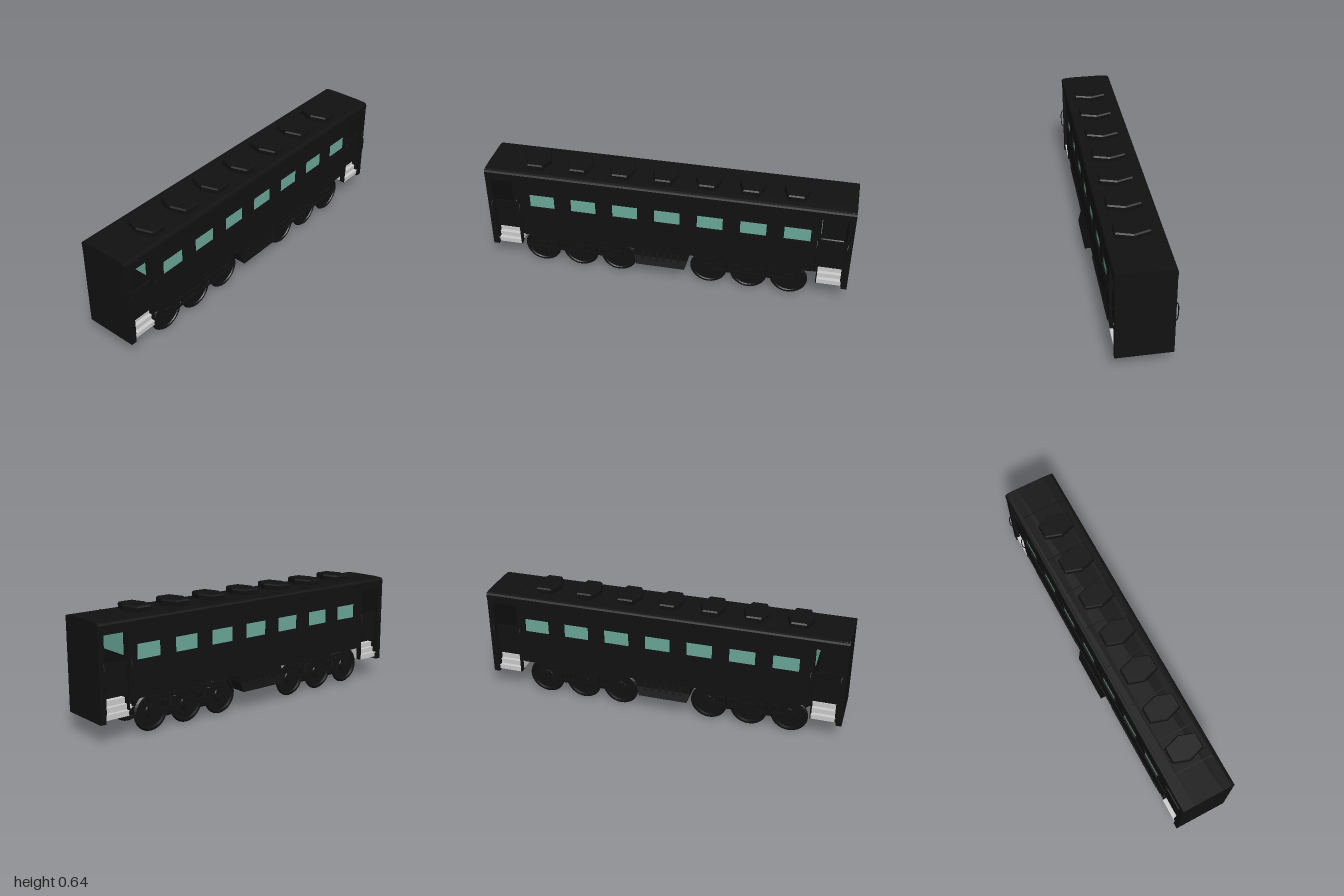
import * as THREE from 'three';

const mat = (color, side = THREE.FrontSide) => new THREE.MeshStandardMaterial({ color, side, flatShading: true });
const black = mat(0x111111);
const glass = mat(0x6aa898);
const grey = mat(0xcccccc);

function add(parent, name, geometry, material = black, x = 0, y = 0, z = 0) {
  const mesh = new THREE.Mesh(geometry, material);
  mesh.name = name;
  mesh.position.set(x, y, z);
  parent.add(mesh);
  return mesh;
}

// Box given by its limits on each axis
function box(parent, name, x0, x1, y0, y1, z0, z1, material = black) {
  return add(parent, name, new THREE.BoxGeometry(x1 - x0, y1 - y0, z1 - z0), material,
    (x0 + x1) / 2, (y0 + y1) / 2, (z0 + z1) / 2);
}

function shapeOf(points) {
  return new THREE.Shape(points.map(([a, b]) => new THREE.Vector2(a, b)));
}

function rectPath(x0, x1, y0, y1) {
  return new THREE.Path([[x0, y0], [x0, y1], [x1, y1], [x1, y0]].map(([a, b]) => new THREE.Vector2(a, b)));
}

// Cross-section in (z, y), swept along x from x0 to x1
function sweepX(parent, name, shape, x0, x1, material = black) {
  const g = new THREE.ExtrudeGeometry(shape, { depth: x1 - x0, bevelEnabled: false });
  g.rotateY(Math.PI / 2);
  return add(parent, name, g, material, x0);
}

function buildBody(car) {
  const windows = Array.from({ length: 7 }, (_, i) => -0.685 + i * 0.2325);

  // Side walls with window openings, glass and thin frames
  for (const s of [-1, 1]) {
    const wall = shapeOf([[-0.83, 0.2], [0.83, 0.2], [0.83, 0.59], [-0.83, 0.59]]);
    windows.forEach(x => wall.holes.push(rectPath(x - 0.075, x + 0.075, 0.387, 0.48)));
    const g = new THREE.ExtrudeGeometry(wall, { depth: 0.016, bevelEnabled: false });
    add(car, 'sideWall', g, black, 0, 0, s > 0 ? 0.129 : -0.145);
    windows.forEach(x => {
      add(car, 'windowPane', new THREE.BoxGeometry(0.14, 0.08, 0.006), glass, x, 0.435, s * 0.137);
      const frame = shapeOf([[-0.08, -0.052], [0.08, -0.052], [0.08, 0.052], [-0.08, 0.052]]);
      frame.holes.push(rectPath(-0.07, 0.07, -0.04, 0.04));
      const fg = new THREE.ExtrudeGeometry(frame, { depth: 0.011, bevelEnabled: false });
      add(car, 'windowFrame', fg, black, x, 0.435, s > 0 ? 0.136 : -0.147);
    });
    add(car, 'beltRail', new THREE.BoxGeometry(1.66, 0.006, 0.006), black, 0, 0.378, s * 0.145);
    add(car, 'sill', new THREE.BoxGeometry(1.6, 0.014, 0.01), black, 0, 0.207, s * 0.143);
  }
  box(car, 'floor', -0.83, 0.83, 0.2, 0.225, -0.13, 0.13);

  // Roof with rounded shoulders
  const roof = shapeOf([[-0.148, 0.57], [0.148, 0.57], [0.148, 0.592], [0.143, 0.602], [0.13, 0.606],
    [0.08, 0.609], [-0.08, 0.609], [-0.13, 0.606], [-0.143, 0.602], [-0.148, 0.592]]);
  sweepX(car, 'roof', roof, -1, 1);
  for (const x of [-0.82, -0.63, -0.4, -0.16, 0.08, 0.31, 0.53, 0.82])
    box(car, 'roofSeam', x - 0.003, x + 0.003, 0.606, 0.611, -0.12, 0.12);

  // Hexagonal roof vents with slats at both ends
  for (let i = 0; i < 7; i++) {
    const vent = new THREE.Group();
    vent.name = 'roofVent';
    vent.position.set(-0.725 + i * 0.235, 0.605, 0.0125);
    car.add(vent);
    const hex = shapeOf([[-0.07, 0], [-0.042, -0.0875], [0.042, -0.0875], [0.07, 0], [0.042, 0.0875], [-0.042, 0.0875]]);
    const g = new THREE.ExtrudeGeometry(hex, {
      depth: 0.028, bevelEnabled: true, bevelThickness: 0.008, bevelSize: 0.005, bevelOffset: -0.005, bevelSegments: 1,
    });
    g.rotateX(-Math.PI / 2);
    add(vent, 'ventCap', g);
    for (const s of [-1, 1]) for (const x of [-0.025, 0, 0.025])
      add(vent, 'ventSlat', new THREE.BoxGeometry(0.012, 0.02, 0.008), black, x, 0.015, s * 0.085);
  }
}

// One vestibule at the +x end
function buildVestibule() {
  const end = new THREE.Group();
  end.name = 'vestibule';

  // Outer end wall
  sweepX(end, 'endWall', shapeOf([[-0.146, 0.105], [0.146, 0.105], [0.146, 0.592], [0.135, 0.605],
    [-0.135, 0.605], [-0.146, 0.592]]), 0.968, 1);

  // Inner bulkhead with a pane
  box(end, 'bulkhead', 0.81, 0.83, 0.2, 0.59, -0.13, 0.13);
  box(end, 'bulkheadPane', 0.829, 0.833, 0.42, 0.53, -0.1, 0.1, glass);

  for (const s of [-1, 1]) {
    add(end, 'header', new THREE.BoxGeometry(0.14, 0.04, 0.016), black, 0.9, 0.565, s * 0.137);
    add(end, 'gate', new THREE.BoxGeometry(0.14, 0.175, 0.01), black, 0.9, 0.3135, s * 0.125);
    // Grab rails beside the opening
    for (const x of [0.817, 0.976]) {
      const path = new THREE.CatmullRomCurve3([[0.405, 0.143], [0.385, 0.156], [0.37, 0.161], [0.34, 0.162],
        [0.31, 0.161], [0.288, 0.156], [0.272, 0.143]].map(([y, z]) => new THREE.Vector3(x, y, s * z)));
      add(end, 'grabRail', new THREE.TubeGeometry(path, 16, 0.0028, 6), black);
    }
    // Side plates of the steps
    for (const x of [0.832, 0.964])
      add(end, 'stepPlate', new THREE.BoxGeometry(0.006, 0.11, 0.03), black, x, 0.175, s * 0.125);
  }

  // Grey steps rising inwards from both sides
  [0.14, 0.122, 0.104].forEach((z, i) => {
    const y = 0.12 + i * 0.029;
    box(end, 'step', 0.834, 0.965, y, y + 0.026, -z, z, grey);
    box(end, 'tread', 0.834, 0.965, y + 0.024, y + 0.029, -z - 0.003, z + 0.003, grey);
  });
  return end;
}

function buildTruck() {
  const truck = new THREE.Group();
  truck.name = 'truck';
  const axles = [-0.222, 0, 0.222];

  // Dished wheel profile, with a sharp flange on the inner part of the rim
  const profile = [[0, -0.006], [0.03, -0.006], [0.034, 0.001], [0.08, 0.001], [0.084, -0.011], [0.094, -0.011],
    [0.1025, -0.001], [0.094, 0.011], [0.084, 0.011], [0.08, 0.005], [0, 0.005]];
  const wheel = new THREE.LatheGeometry(profile.map(([r, y]) => new THREE.Vector2(r, y)), 32);
  wheel.rotateX(Math.PI / 2);

  for (const x of axles) {
    const axle = add(truck, 'axle', new THREE.CylinderGeometry(0.012, 0.012, 0.2, 16), grey, x, 0.085, 0);
    axle.rotation.x = Math.PI / 2;
    for (const s of [-1, 1]) {
      add(truck, 'wheel', wheel, black, x, 0.103, s * 0.105);
      add(truck, 'axleBox', new THREE.BoxGeometry(0.05, 0.05, 0.018), black, x, 0.115, s * 0.123);
    }
  }

  // Side frames, equalizer bars and springs
  for (const s of [-1, 1]) {
    add(truck, 'sideFrame', new THREE.BoxGeometry(0.5, 0.018, 0.018), black, 0, 0.178, s * 0.125);
    add(truck, 'equalizer', new THREE.BoxGeometry(0.52, 0.012, 0.012), black, 0, 0.112, s * 0.131);
    for (const x of [-0.11, 0.11]) {
      add(truck, 'spring', new THREE.CylinderGeometry(0.018, 0.018, 0.055, 10), black, x, 0.143, s * 0.122);
      add(truck, 'springSeat', new THREE.BoxGeometry(0.14, 0.01, 0.018), black, x, 0.155, s * 0.127);
    }
  }

  // Central gear housing, bevelled along its bottom edges
  sweepX(truck, 'gearHousing', shapeOf([[-0.055, 0.052], [-0.047, 0.043], [0.063, 0.043], [0.07, 0.052],
    [0.07, 0.13], [-0.055, 0.13]]), -0.23, 0.23);
  sweepX(truck, 'housingNose', shapeOf([[-0.035, 0.075], [0.035, 0.075], [0.02, 0.1], [-0.02, 0.1]]), -0.25, 0.25);
  box(truck, 'bolster', -0.06, 0.06, 0.13, 0.205, -0.115, 0.115);
  return truck;
}

// Flared equipment box under the middle of the floor
function buildEquipment(car) {
  const g = new THREE.BoxGeometry(0.29, 0.1, 0.33, 1, 2, 1);
  const p = g.attributes.position;
  for (let i = 0; i < p.count; i++) {
    const y = p.getY(i);
    p.setX(i, p.getX(i) * (y < 0 ? 0.94 : 1.04));
    p.setZ(i, Math.sign(p.getZ(i)) * (y < 0 ? 0.165 : y > 0.01 ? 0.146 : 0.15));
  }
  add(car, 'equipmentBox', g, black, -0.022, 0.156, 0);
  for (const s of [-1, 1]) for (let i = 0; i < 6; i++) {
    const vane = add(car, 'equipmentVane', new THREE.BoxGeometry(0.012, 0.05, 0.008), black, -0.122 + i * 0.04, 0.165, s * 0.15);
    vane.rotation.x = -s * 0.2;
  }
  box(car, 'equipmentPan', -0.11, 0.07, 0.103, 0.108, -0.1, 0.1);
}

export function createModel() {
  const car = new THREE.Group();
  car.name = 'passengerCar';
  buildBody(car);
  for (const turn of [0, Math.PI]) {
    const end = buildVestibule();
    end.rotation.y = turn;
    car.add(end);
  }
  for (const x of [-0.494, 0.462]) {
    const truck = buildTruck();
    truck.position.x = x;
    car.add(truck);
  }
  buildEquipment(car);
  return car;
}
